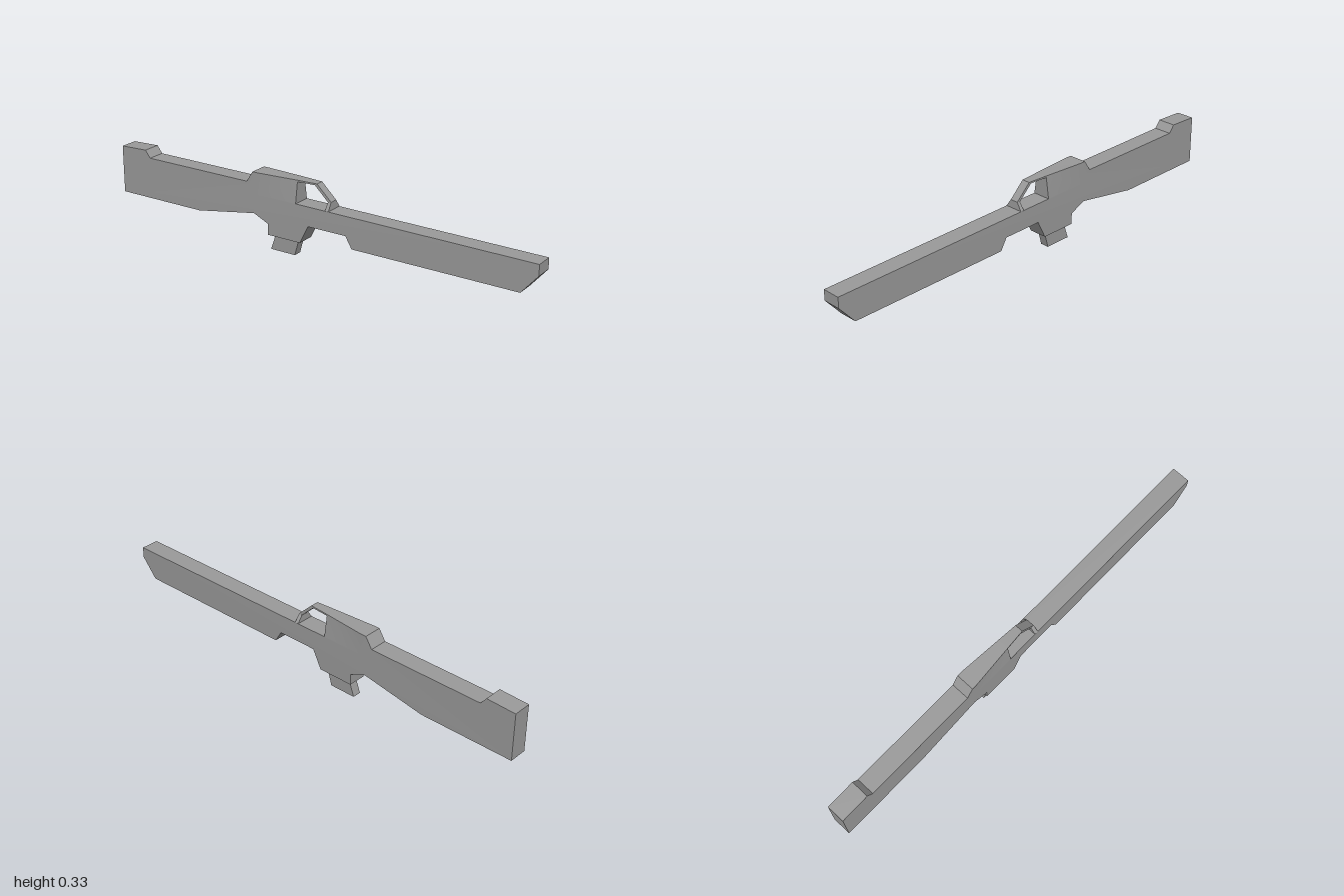
import * as THREE from 'three';
import { mergeGeometries, toCreasedNormals } from 'three/addons/utils/BufferGeometryUtils.js';

const HALF = 0.04;      // half thickness of the main body
const DECK = 0.235;     // height of the barrel deck
const material = new THREE.MeshStandardMaterial({ color: 0x999999 });

// Extrudes a side profile; widthAt(x, y) gives the half thickness at each point.
function slab(points, widthAt) {
  const shape = new THREE.Shape(points.map(([x, y]) => new THREE.Vector2(x, y)));
  const geometry = new THREE.ExtrudeGeometry(shape, { depth: 1, bevelEnabled: false });
  const p = geometry.attributes.position;
  for (let i = 0; i < p.count; i++) {
    const w = widthAt(p.getX(i), p.getY(i));
    p.setZ(i, p.getZ(i) > 0.5 ? w : -w);
  }
  return geometry;
}

// Smooths gentle bends and keeps the edges sharp.
function part(name, geometry) {
  const mesh = new THREE.Mesh(toCreasedNormals(geometry, 0.5), material);
  mesh.name = name;
  return mesh;
}

// Full width at the deck, narrowing towards the front along the top.
function taper(x, y) {
  if (y <= DECK) return HALF;
  const t = THREE.MathUtils.clamp((x + 0.27) / 0.28, 0, 1);
  return THREE.MathUtils.lerp(HALF, 0.018, t);
}

export function createModel() {
  const model = new THREE.Group();
  model.name = 'rifle';

  // Stock, receiver and fore-end in one profile
  const lower = slab([
    [-1, 0.10], [-0.58, 0.10], [-0.29, 0.15], [-0.22, 0.118], [-0.22, 0.07],
    [-0.06, 0.07], [-0.02, 0.15], [0.16, 0.15], [0.19, 0.10], [0.93, 0.10],
    [1, 0.183], [1, 0.23], [-0.08, DECK], [-0.27, DECK], [-0.27, 0.33],
    [-0.295, 0.33], [-0.325, 0.283], [-0.845, 0.283], [-0.87, 0.315], [-1, 0.31],
  ], () => HALF);

  // Tapered top of the receiver, blended into the sides below
  const upper = slab([
    [-0.27, DECK], [-0.08, DECK], [-0.08, 0.332], [-0.27, 0.33],
  ], taper);
  model.add(part('body', mergeGeometries([lower, upper])));

  // Open sight bridge with a flared foot
  model.add(part('sightBridge', slab([
    [-0.08, 0.325], [0.0, 0.325], [0.062, 0.265], [0.062, DECK],
    [0.079, DECK], [0.077, 0.268], [0.01, 0.332], [-0.08, 0.332],
  ], taper)));

  // Thin magazine below the receiver
  model.add(part('magazine', slab([
    [-0.22, 0], [-0.1, 0], [-0.08, 0.072], [-0.195, 0.072],
  ], () => 0.019)));

  return model;
}
